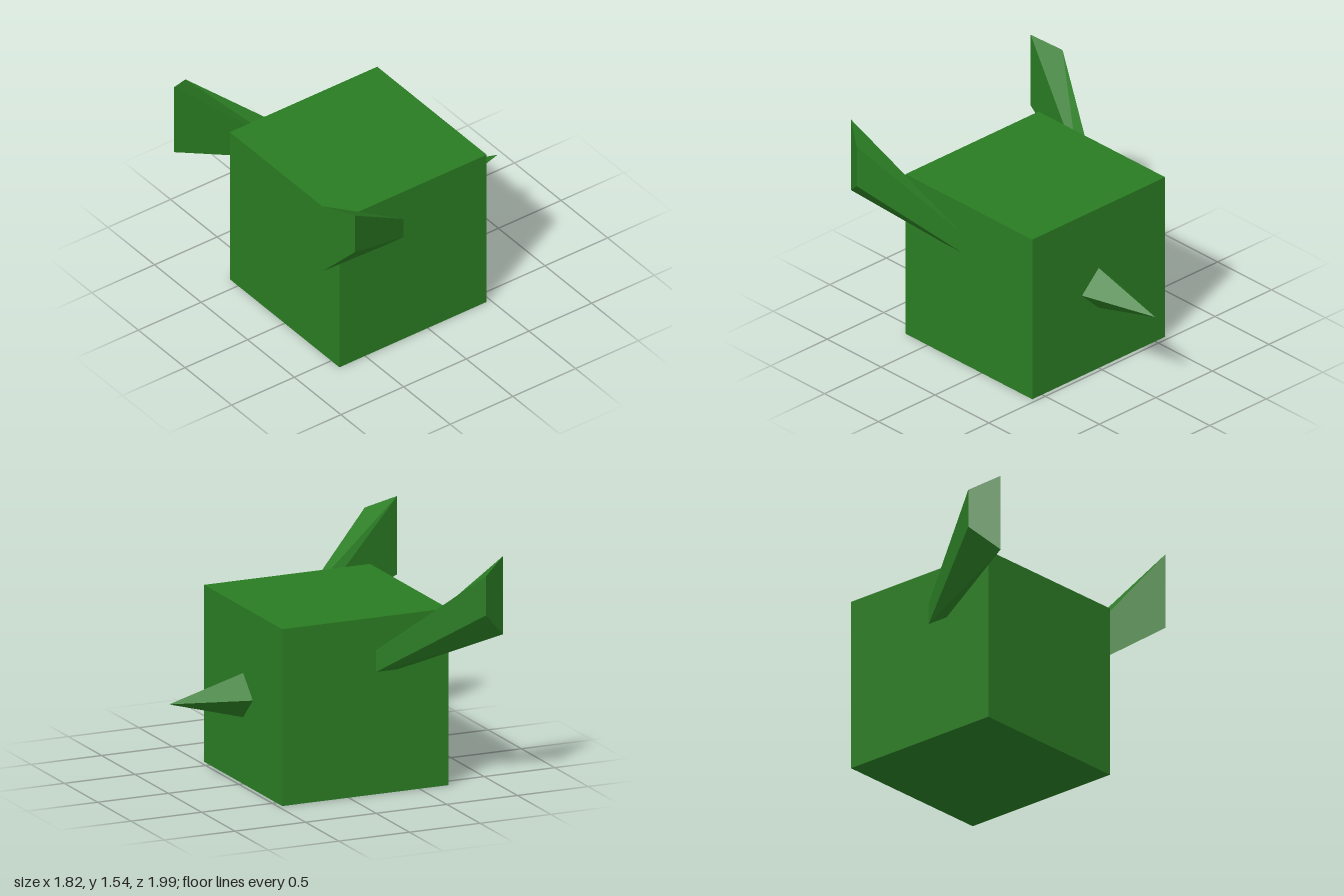
import * as THREE from 'three';

const material = new THREE.MeshStandardMaterial({ color: 0x2a7c23, flatShading: true });

// Tapered arm: a unit box whose eight corners are moved to the root and the tip.
function createArm(side, outerLow) {
  const geometry = new THREE.BoxGeometry(1, 1, 1);
  const p = geometry.attributes.position;
  for (let i = 0; i < p.count; i++) {
    const outer = p.getX(i) * side > 0;
    const top = p.getY(i) > 0;
    const tip = p.getZ(i) > 0;
    let x, y, z;
    if (tip) {
      x = outer ? 0.91 : 0.795;
      z = outer ? 0.82 : 0.995;
      y = outer ? (top ? 1.455 : outerLow) : (top ? 1.54 : 1.02);
    } else {
      x = 0.585;
      z = outer ? 0.19 : 0.34;
      y = top ? 0.955 : 0.81;
    }
    p.setXYZ(i, side * x, y, z);
  }
  geometry.computeVertexNormals();
  return new THREE.Mesh(geometry, material);
}

export function createModel() {
  const model = new THREE.Group();
  model.name = 'cubeCreature';

  // Cube body
  const body = new THREE.Mesh(new THREE.BoxGeometry(1.175, 1.175, 1.175), material);
  body.name = 'body';
  body.position.set(0, 0.5875, 0.1175);
  model.add(body);

  // Four-sided spike tail pointing back
  const tail = new THREE.Mesh(new THREE.ConeGeometry(0.147, 0.525, 4), material);
  tail.name = 'tail';
  tail.rotation.x = -Math.PI / 2;
  tail.position.set(0, 0.59, -0.7325);
  model.add(tail);

  // Raised arms reaching forward
  const leftArm = createArm(1, 1.165);
  leftArm.name = 'leftArm';
  const rightArm = createArm(-1, 1.195);
  rightArm.name = 'rightArm';
  model.add(leftArm, rightArm);

  return model;
}
